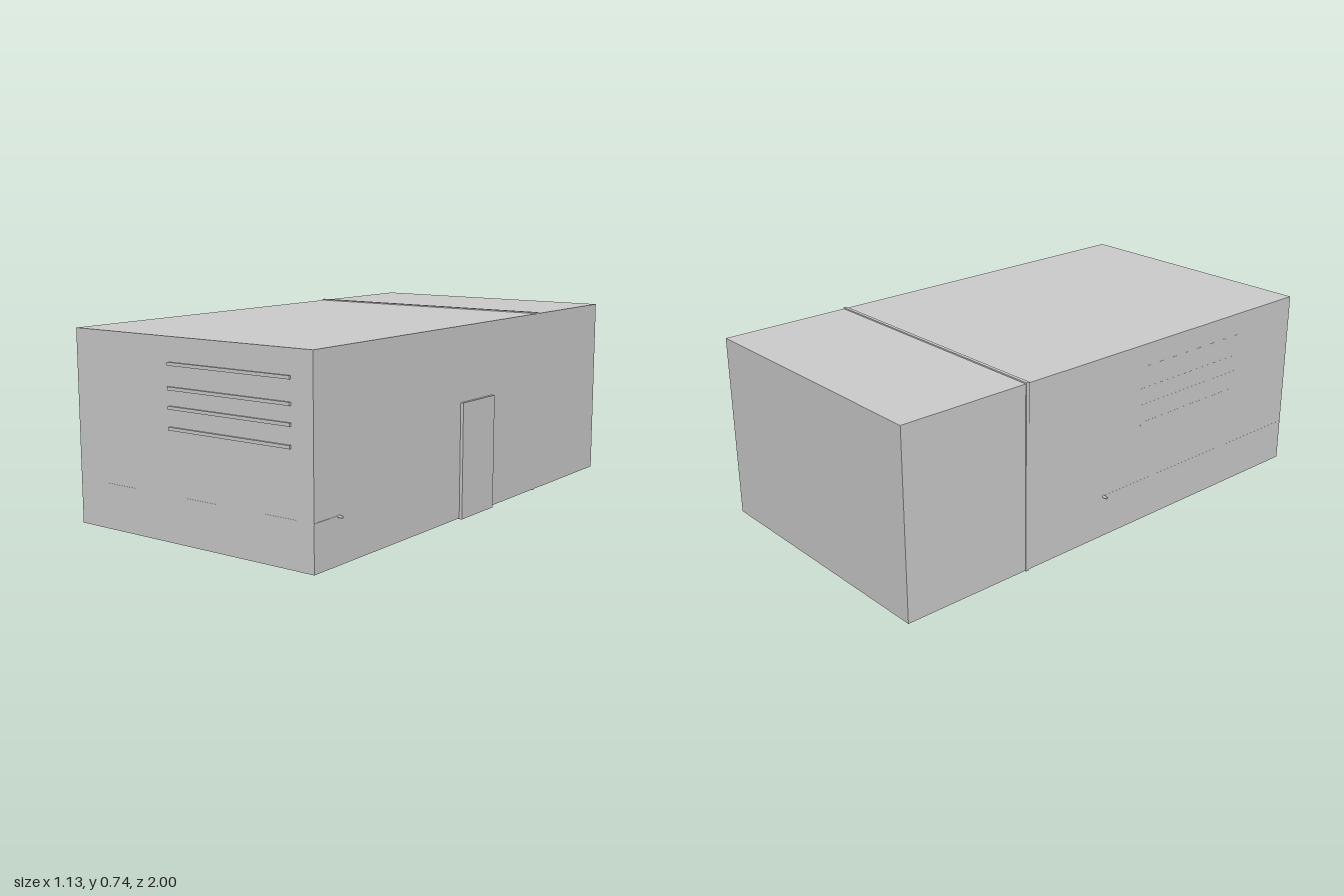
import * as THREE from 'three';

export function createModel() {
  const model = new THREE.Group();
  const material = new THREE.MeshStandardMaterial({ color: 0xcccccc, flatShading: true });

  // Box given by its minimum and maximum corners
  function block(name, [x0, y0, z0], [x1, y1, z1], parent = model) {
    const mesh = new THREE.Mesh(new THREE.BoxGeometry(x1 - x0, y1 - y0, z1 - z0), material);
    mesh.name = name;
    mesh.position.set((x0 + x1) / 2, (y0 + y1) / 2, (z0 + z1) / 2);
    parent.add(mesh);
    return mesh;
  }

  const W = 0.546, BASE = 0.007, TOP = 0.734, FRONT = 0.992, BACK = -1;

  // Main building and its side door
  block('building', [-W, BASE, BACK], [W, TOP, FRONT]);
  block('door', [W - 0.01, 0.004, -0.113], [0.558, 0.448, 0.115]);

  // Horizontal louvres: raised on the front, almost flush on the left-hand wall
  const louvres = new THREE.Group();
  louvres.name = 'louvres';
  model.add(louvres);
  for (const y of [0.64, 0.555, 0.488, 0.415]) {
    block('frontLouvre', [-0.085, y - 0.006, FRONT - 0.01], [0.455, y + 0.006, 1], louvres);
    block('sideLouvre', [-W - 0.0004, y - 0.006, 0.11], [-W + 0.01, y + 0.006, 0.66], louvres);
  }

  // Joint strip over the roof, down one wall and under the floor with a gap
  const strip = new THREE.Group();
  strip.name = 'jointStrip';
  model.add(strip);
  const z0 = -0.472, z1 = -0.458;
  block('roofStrip', [-W, TOP - 0.01, z0], [W, 0.739, z1], strip);
  block('wallStrip', [-W - 0.003, 0.004, z0], [-W + 0.01, 0.739, z1], strip);
  block('floorStripLeft', [0.115, 0.004, z0], [W, BASE + 0.01, z1], strip);
  block('floorStripRight', [-W, 0.004, z0], [-0.115, BASE + 0.01, z1], strip);

  // Small feet under the floor
  for (const z of [-0.52, -0.955]) {
    block('foot', [-0.335, 0, z - 0.005], [-0.323, BASE + 0.005, z + 0.005]);
  }

  // Pipe run almost flush with the walls, ending in a spout on each side
  const pipes = new THREE.Group();
  pipes.name = 'pipeRun';
  model.add(pipes);
  const py = 0.175, r = 0.0025, out = 0.0004;
  block('rightPipe', [-W - out, py - r, -0.08], [-W + 0.01, py + r, FRONT], pipes);
  block('frontPipe', [-W, py - r, FRONT - 0.01], [W, py + r, FRONT + out], pipes);
  block('leftPipe', [W - 0.01, py - r, 0.865], [W + 0.002, py + r, FRONT], pipes);
  block('downPipe', [W - 0.01, BASE, 0.866], [W + 0.001, py, 0.87], pipes);
  for (const [x, z] of [[-0.555, -0.08], [0.553, 0.865]]) {
    const spout = new THREE.Mesh(new THREE.CylinderGeometry(0.005, 0.005, 0.022, 12), material);
    spout.name = 'spout';
    spout.rotation.z = Math.PI / 2;
    spout.position.set(x, py, z);
    pipes.add(spout);
  }

  return model;
}
